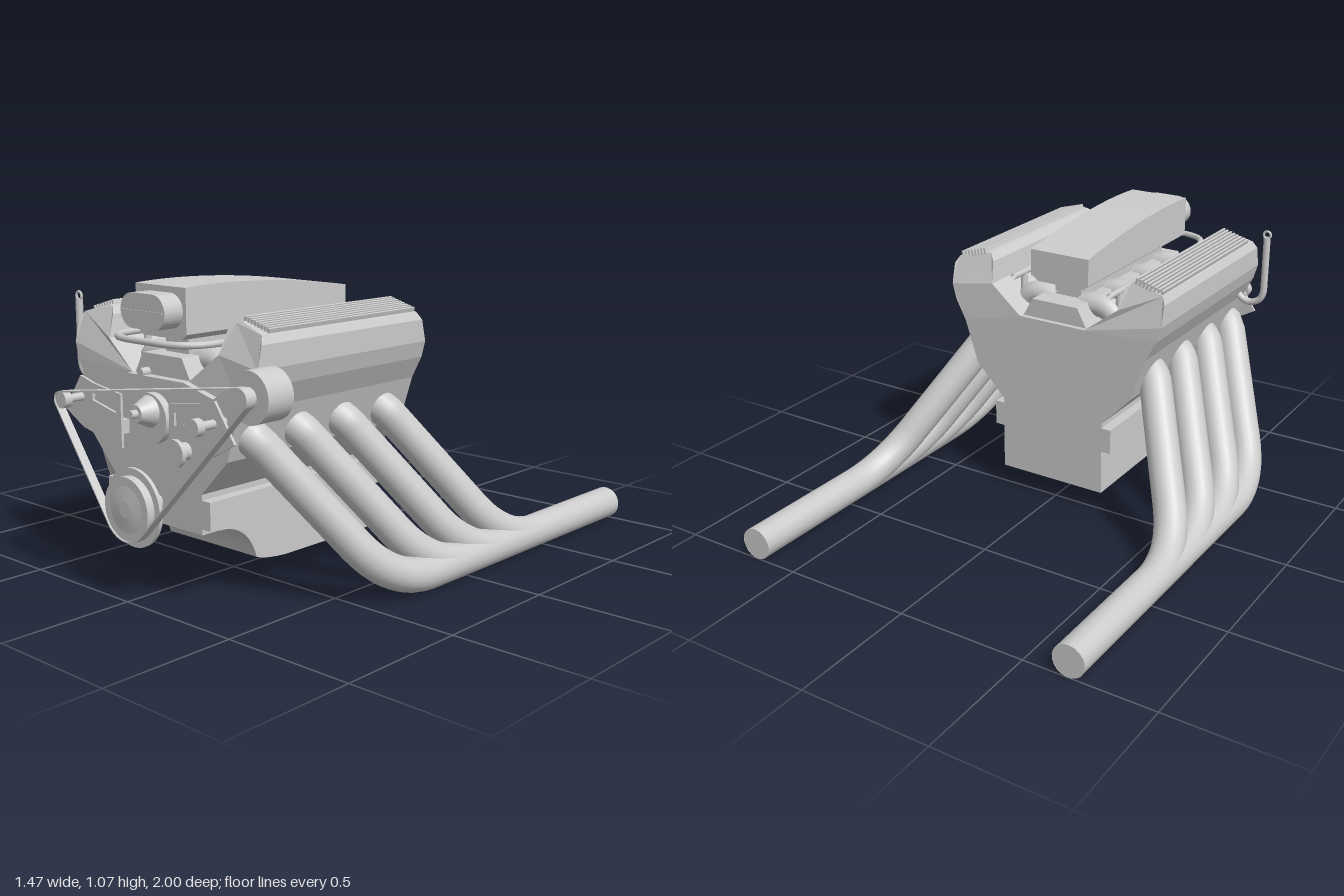
import * as THREE from 'three';
import { toCreasedNormals } from 'three/addons/utils/BufferGeometryUtils.js';

const V = (x, y, z) => new THREE.Vector3(x, y, z);

export function createModel() {
  const root = new THREE.Group();
  const mat = new THREE.MeshStandardMaterial({ color: 0xcccccc, side: THREE.DoubleSide });

  function add(name, geo, x = 0, y = 0, z = 0) {
    const m = new THREE.Mesh(geo, mat);
    m.name = name;
    m.position.set(x, y, z);
    root.add(m);
    return m;
  }
  const toShape = pts => new THREE.Shape(pts.map(p => new THREE.Vector2(p[0], p[1])));
  // front outline swept from z0 to z1
  function sweepZ(shape, z0, z1) {
    const g = new THREE.ExtrudeGeometry(shape, { depth: z1 - z0, bevelEnabled: false, curveSegments: 16 });
    return g.translate(0, 0, z0);
  }
  // side outline (z, y) swept across x
  function sweepX(shape, halfWidth) {
    return toCreasedNormals(sweepZ(shape, -halfWidth, halfWidth).rotateY(-Math.PI / 2), 0.5);
  }
  // round bar along z
  const bar = (r0, r1, len, seg = 32) => new THREE.CylinderGeometry(r1, r0, len, seg).rotateX(Math.PI / 2);
  // pipe along straight runs with rounded corners
  function pipe(pts, bend, r, steps = 48, sides = 20) {
    const path = new THREE.CurvePath();
    let from = pts[0];
    for (let i = 1; i < pts.length - 1; i++) {
      const p = pts[i];
      const a = p.clone().add(pts[i - 1].clone().sub(p).setLength(bend[i - 1]));
      const b = p.clone().add(pts[i + 1].clone().sub(p).setLength(bend[i - 1]));
      path.add(new THREE.LineCurve3(from, a));
      path.add(new THREE.QuadraticBezierCurve3(a, p, b));
      from = b;
    }
    path.add(new THREE.LineCurve3(from, pts[pts.length - 1]));
    return new THREE.TubeGeometry(path, steps, r, sides);
  }

  // engine block with side rails and V-shaped upper half
  const half = [[0.225, 0.25], [0.225, 0.27], [0.265, 0.27], [0.265, 0.37], [0.225, 0.37],
    [0.225, 0.39], [0.35, 0.52], [0.405, 0.69], [0.145, 0.757]];
  const mirrored = half.map(([x, y]) => [-x, y]).reverse();
  add('engineBlock', sweepZ(toShape([...half, ...mirrored]), -0.03, 0.855));

  // oil pan with a curved front
  const pan = new THREE.Shape();
  pan.moveTo(-0.03, 0.25);
  pan.lineTo(-0.03, 0.09);
  pan.lineTo(0.45, 0.09);
  pan.quadraticCurveTo(0.56, 0.095, 0.605, 0.115);
  pan.bezierCurveTo(0.63, 0.2, 0.69, 0.25, 0.78, 0.25);
  add('oilPan', sweepX(pan, 0.227));

  for (const s of [1, -1]) {
    const side = s > 0 ? 'left' : 'right';

    // valve cover, ends drawn in towards the top
    const cover = sweepZ(toShape([[0.405, 0.69], [0.447, 0.77], [0.465, 0.83], [0.465, 0.91], [0.45, 0.938],
      [0.34, 0.97], [0.315, 0.965], [0.293, 0.94], [0.28, 0.86], [0.145, 0.757]].map(([x, y]) => [x * s, y])), -0.03, 0.83);
    const p = cover.attributes.position;
    for (let i = 0; i < p.count; i++) {
      const y = p.getY(i), z = p.getZ(i);
      const pull = Math.max(0, y - 0.82) * 0.25 + Math.max(0, y - 0.92) * 0.5;
      p.setZ(i, z > 0.4 ? z - pull : z + pull);
    }
    cover.computeVertexNormals();
    add(side + 'ValveCover', cover);

    // cooling ribs on the cover
    for (let i = 0; i < 8; i++) {
      const t = i / 7;
      const rib = add(side + 'CoverRib', new THREE.BoxGeometry(0.008, 0.026, 0.74),
        s * (0.337 + 0.104 * t), 0.973 - 0.03 * t, 0.385);
      rib.rotation.z = -s * 0.28;
    }

    // exhaust headers merging into one long pipe
    [0.77, 0.555, 0.335, 0.11].forEach((z, i) => {
      const zc = z - 0.37;
      const end = i === 0 ? -1 : zc - 0.24;
      add(side + 'Header', pipe([V(s * 0.26, 0.605, z), V(s * 0.37, 0.605, z),
        V(s * 0.675, 0.063, zc), V(s * 0.675, 0.063, end)], [0.06, 0.2], 0.062, 56));
    });
    const cap = add(side + 'PipeEnd', new THREE.CircleGeometry(0.062, 20), s * 0.675, 0.063, -0.999);
    cap.rotation.y = Math.PI;

    // intake runners with injectors beneath the fuel rail
    for (const z of [0.11, 0.29, 0.515, 0.7]) {
      const arc = new THREE.CatmullRomCurve3([V(s * 0.06, 0.80, z), V(s * 0.11, 0.812, z),
        V(s * 0.16, 0.808, z), V(s * 0.195, 0.78, z), V(s * 0.21, 0.72, z)]);
      add(side + 'IntakeRunner', new THREE.TubeGeometry(arc, 16, 0.047, 20));
      add(side + 'Injector', new THREE.CylinderGeometry(0.012, 0.016, 0.1, 12), s * 0.215, 0.84, z);
    }

    // accessory bracket plate, idler pulley and its stub
    const plate = toShape([[0.125, 0.5], [0.335, 0.545], [0.435, 0.6], [0.345, 0.73], [0.27, 0.71], [0.125, 0.69]]
      .map(([x, y]) => [x * s, y]));
    plate.holes.push(new THREE.Path([[0.15, 0.62], [0.28, 0.65], [0.28, 0.675], [0.15, 0.665]]
      .map(([x, y]) => new THREE.Vector2(x * s, y))));
    add(side + 'Bracket', sweepZ(plate, 0.893, 0.903));
    add(side + 'BracketSpacer', new THREE.BoxGeometry(0.12, 0.05, 0.05), s * 0.2, 0.57, 0.872);
    add(side + 'IdlerShaft', bar(0.015, 0.015, 0.13, 16), s * 0.34, 0.655, 0.915);
    add(side + 'IdlerPulley', bar(0.03, 0.03, 0.03), s * 0.34, 0.655, 0.98);
  }

  // intake manifold and throttle neck in the valley
  add('intakeManifold', sweepZ(toShape([[-0.15, 0.74], [0.15, 0.74], [0.13, 0.775], [0.1, 0.83],
    [-0.1, 0.83], [-0.13, 0.775]]), -0.01, 0.82));
  add('throttleNeck', new THREE.BoxGeometry(0.116, 0.08, 0.66), 0, 0.86, 0.42);
  add('sensorPort', bar(0.016, 0.016, 0.05, 16), -0.075, 0.765, 0.83);

  // fuel rail looping around the front
  add('fuelRail', pipe([V(-0.215, 0.885, 0.03), V(-0.215, 0.885, 0.9), V(0.215, 0.885, 0.9),
    V(0.215, 0.885, 0.03)], [0.15, 0.15], 0.012, 72, 10));

  // air box with an arched lid, tapered base and oval inlet
  const box = new THREE.Shape();
  box.moveTo(0.025, 0.91);
  box.lineTo(0.82, 0.91);
  box.lineTo(0.82, 1.066);
  box.bezierCurveTo(0.6, 1.08, 0.3, 1.06, 0.025, 1.015);
  add('airBox', sweepX(box, 0.127));
  add('airBoxBase', sweepZ(toShape([[-0.1, 0.89], [0.1, 0.89], [0.127, 0.911], [-0.127, 0.911]]), 0.03, 0.815));
  const oval = (w, r, shape) => {
    shape.absarc(w, 0.985, r, -Math.PI / 2, Math.PI / 2);
    shape.absarc(-w, 0.985, r, Math.PI / 2, Math.PI * 1.5);
    return shape;
  };
  const inlet = oval(0.052, 0.06, new THREE.Shape());
  add('airInlet', toCreasedNormals(sweepZ(inlet, 0.81, 0.9), 0.6));
  add('inletBar', new THREE.BoxGeometry(0.2, 0.006, 0.006), 0, 0.985, 0.9);

  // crank pulley with a cone-shaped hub
  add('crankShaft', bar(0.028, 0.028, 0.12), 0, 0.325, 0.9);
  add('crankDamper', bar(0.138, 0.138, 0.014, 48), 0, 0.325, 0.957);
  add('crankPulley', bar(0.112, 0.112, 0.03, 48), 0, 0.325, 0.979);
  add('crankHub', bar(0.1, 0.028, 0.008, 48), 0, 0.325, 0.996);

  // water pump with stepped nose
  add('waterPump', bar(0.088, 0.088, 0.03, 40), 0, 0.62, 0.868);
  add('waterPumpHub', bar(0.057, 0.03, 0.06), 0, 0.645, 0.91);
  add('waterPumpNose', bar(0.015, 0.015, 0.03, 16), 0, 0.645, 0.95);

  // steering pump
  add('steeringPump', bar(0.03, 0.03, 0.1), 0.205, 0.545, 0.9);
  add('steeringPulley', bar(0.047, 0.047, 0.016), 0.205, 0.545, 0.95);

  // alternator on its arm
  add('alternator', bar(0.085, 0.085, 0.11, 40), 0.555, 0.775, 0.9);
  add('alternatorPulley', bar(0.035, 0.035, 0.04), 0.555, 0.775, 0.975);
  add('alternatorArm', sweepZ(toShape([[0.31, 0.72], [0.4, 0.68], [0.53, 0.72], [0.5, 0.84], [0.46, 0.815]]), 0.86, 0.89));

  // drive belt: outer envelope of the three pulleys
  const wheels = [[0, 0.325, 0.115], [0.555, 0.775, 0.037], [-0.34, 0.655, 0.032]];
  const envelope = off => Array.from({ length: 96 }, (_, i) => {
    const a = i / 96 * Math.PI * 2, c = Math.cos(a), d = Math.sin(a);
    const reach = w => w[0] * c + w[1] * d + w[2];
    const w = wheels.reduce((best, q) => (reach(q) > reach(best) ? q : best));
    return new THREE.Vector2(w[0] + (w[2] + off) * c, w[1] + (w[2] + off) * d);
  });
  const belt = new THREE.Shape(envelope(0));
  belt.holes.push(new THREE.Path(envelope(-0.005)));
  add('driveBelt', sweepZ(belt, 0.967, 1.0));

  // dipstick tube with a ring handle
  add('dipstickTube', pipe([V(-0.525, 0.975, 0.76), V(-0.525, 0.69, 0.76), V(-0.44, 0.69, 0.76), V(-0.39, 0.74, 0.76)],
    [0.07, 0.03], 0.014, 40, 12));
  add('dipstickRing', new THREE.TorusGeometry(0.015, 0.005, 8, 24), -0.525, 0.985, 0.76);

  return root;
}
